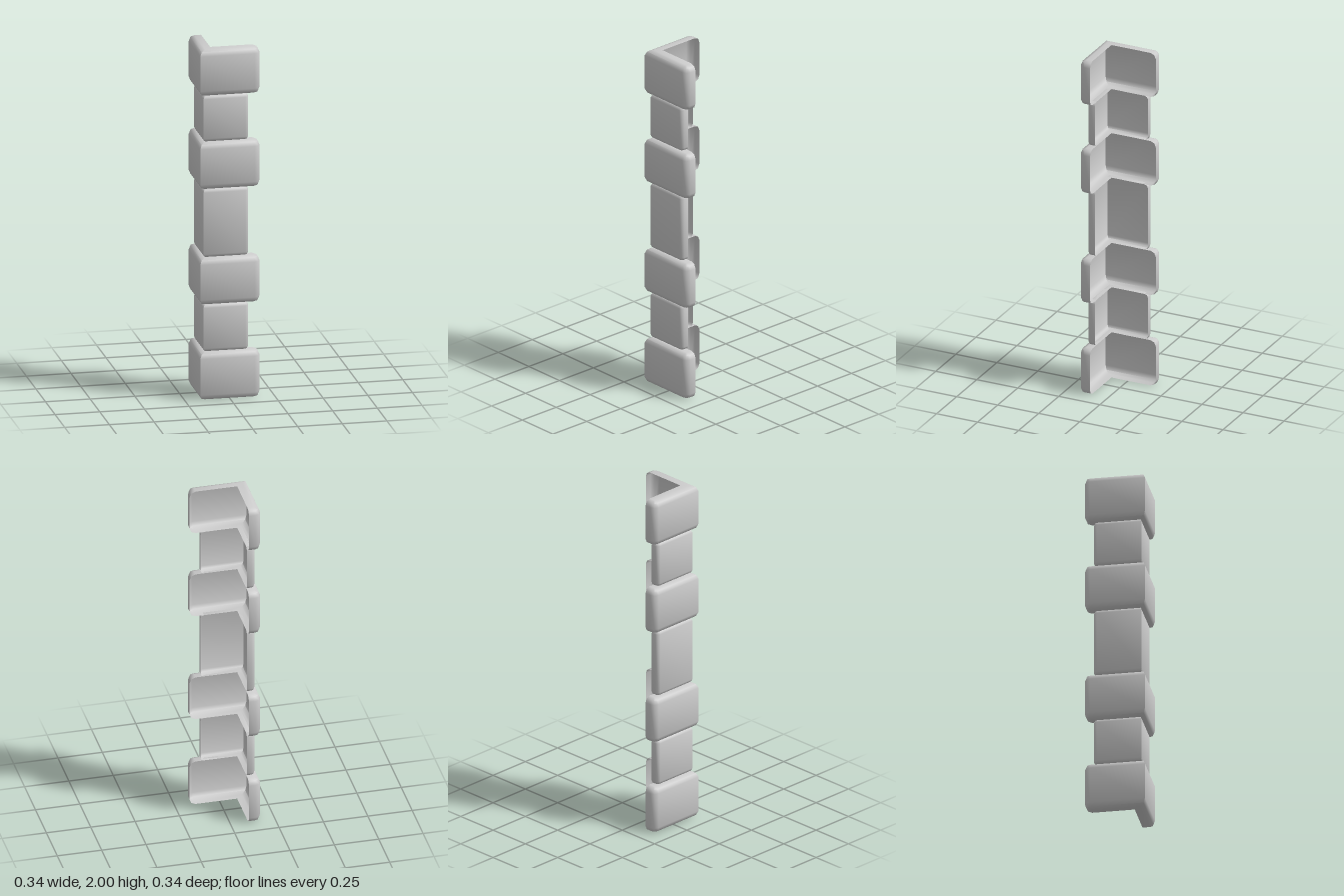
import * as THREE from 'three';
import { toCreasedNormals } from 'three/addons/utils/BufferGeometryUtils.js';

const INNER = 0.1; // open back planes that sit against the wall corner
const STEPS = 2; // bevel segments

// One leg of the L in plan, from its free end to the outer corner.
// u runs along the leg, v is its depth; inset shrinks the outline.
function legOutline(end, depth, r, inset) {
  const pts = [[end - inset, INNER]];
  for (let k = 0; k <= STEPS; k++) {
    const a = (k / STEPS) * Math.PI / 2;
    pts.push([
      end - r + (r - inset) * Math.cos(a),
      depth - r + (r - inset) * Math.sin(a),
    ]);
  }
  return pts;
}

// Whole L outline: front leg, outer corner, side leg
function outline(s, inset) {
  const front = legOutline(s.frontEnd, s.depth, s.r, inset);
  const side = legOutline(s.sideEnd, s.depth, s.r, inset).map(([u, v]) => [-v, -u]);
  const c = s.depth - inset;
  return [...front, [-c, c], ...side.reverse()];
}

// Outline pressed onto the open back planes, which closes the top and bottom
function backLine(s) {
  const n = STEPS + 2;
  const front = Array(n).fill([s.frontEnd - s.r, INNER]);
  const side = Array(n).fill([-INNER, -(s.sideEnd - s.r)]);
  return [...front, [-INNER, INNER], ...side];
}

// Hollow corner stone with rounded rims, lofted from bottom to top
function stoneGeometry(s, y0, y1) {
  const rows = [];
  const add = (pts, y) => rows.push(pts.map(([x, z]) => new THREE.Vector3(x, y, z)));
  add(backLine(s), y0);
  for (const top of [false, true]) {
    for (let k = 0; k <= STEPS; k++) {
      const a = ((top ? k : STEPS - k) / STEPS) * Math.PI / 2;
      const rise = s.r * (1 - Math.sin(a));
      add(outline(s, s.r * (1 - Math.cos(a))), top ? y1 - rise : y0 + rise);
    }
  }
  add(backLine(s), y1);

  const pos = [];
  const tri = new THREE.Triangle();
  const face = (a, b, c) => {
    tri.set(a, b, c);
    if (tri.getArea() > 1e-9) pos.push(...a, ...b, ...c);
  };
  for (let i = 0; i < rows.length - 1; i++) {
    for (let j = 0; j < rows[0].length - 1; j++) {
      const a = rows[i][j], b = rows[i][j + 1];
      const c = rows[i + 1][j + 1], d = rows[i + 1][j];
      face(a, d, c);
      face(a, c, b);
    }
  }
  const g = new THREE.BufferGeometry();
  g.setAttribute('position', new THREE.Float32BufferAttribute(pos, 3));
  return toCreasedNormals(g, THREE.MathUtils.degToRad(50));
}

export function createModel() {
  const group = new THREE.Group();
  group.name = 'cornerStones';
  const material = new THREE.MeshStandardMaterial({ color: 0xcccccc, side: THREE.DoubleSide });

  const large = { depth: 0.17, frontEnd: 0.168, sideEnd: 0.17, r: 0.033 };
  const small = { depth: 0.147, frontEnd: 0.107, sideEnd: 0.122, r: 0.02 };

  // Large and small stones alternate up the corner
  const levels = [0, 0.272, 0.543, 0.81, 1.202, 1.47, 1.735, 2];
  for (let i = 0; i < levels.length - 1; i++) {
    const isLarge = i % 2 === 0;
    const mesh = new THREE.Mesh(
      stoneGeometry(isLarge ? large : small, levels[i], levels[i + 1]), material);
    mesh.name = (isLarge ? 'largeStone' : 'smallStone') + (Math.floor(i / 2) + 1);
    group.add(mesh);
  }
  return group;
}
